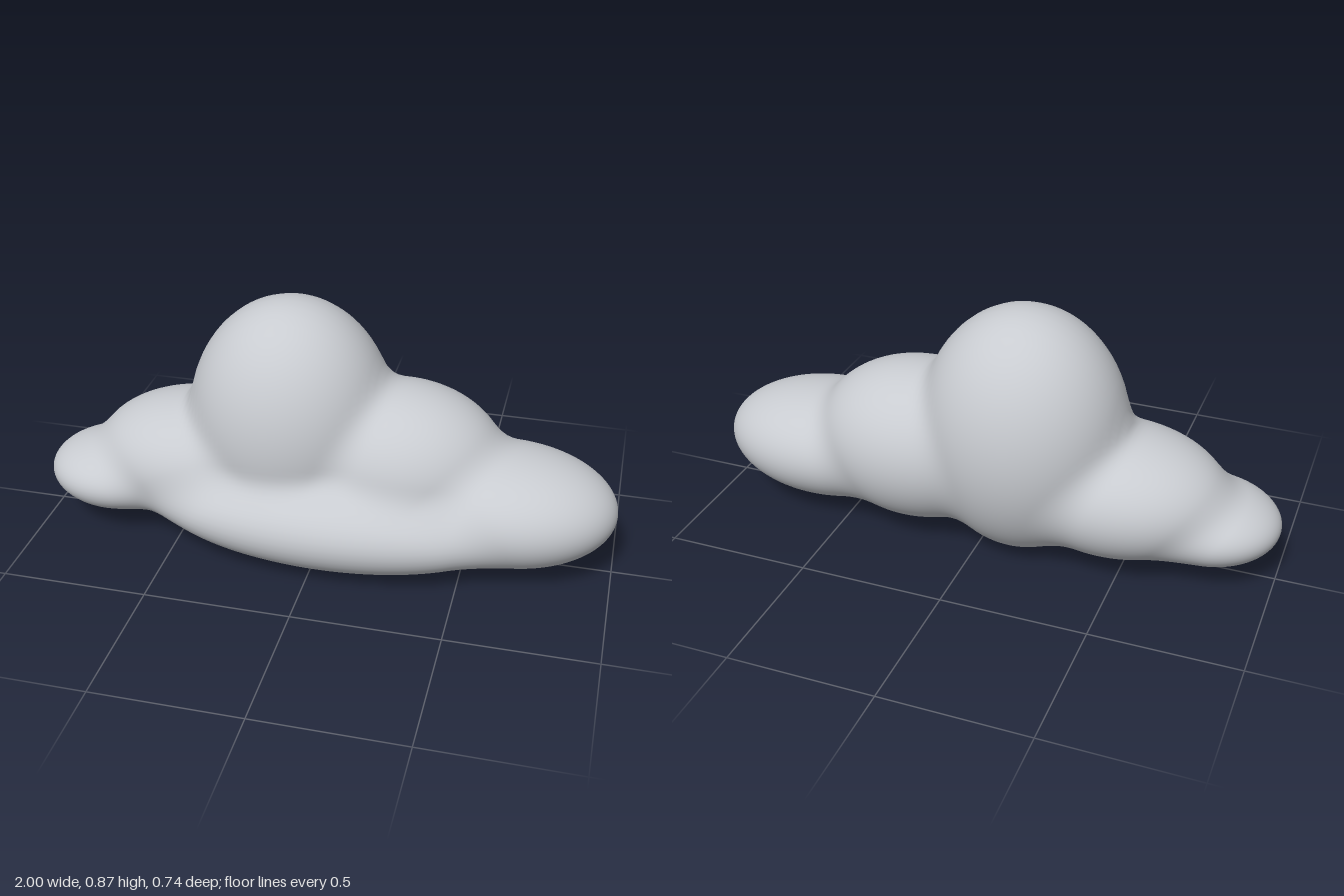
import * as THREE from 'three';

// Puffs of the cloud: centre, then radii
const PUFFS = [
  [[-0.13, 0.435, -0.05], [0.355, 0.435, 0.32]], // tall middle
  [[0.25, 0.32, -0.04], [0.37, 0.28, 0.29]],     // right shoulder
  [[0.62, 0.225, 0], [0.38, 0.195, 0.27]],       // right end
  [[-0.45, 0.26, -0.03], [0.38, 0.22, 0.28]],    // left shoulder
  [[-0.75, 0.18, 0.01], [0.25, 0.125, 0.22]],    // left end
  [[0.04, 0.175, 0.12], [0.63, 0.175, 0.25]],    // long front belly
];
const BLEND = 0.06;

// Approximate distance to one ellipsoid
function puffDistance([c, r], x, y, z) {
  const p = [x - c[0], y - c[1], z - c[2]];
  const k0 = Math.hypot(p[0] / r[0], p[1] / r[1], p[2] / r[2]);
  const k1 = Math.hypot(p[0] / r[0] ** 2, p[1] / r[1] ** 2, p[2] / r[2] ** 2);
  return k1 < 1e-6 ? -Math.min(...r) : k0 * (k0 - 1) / k1;
}

// Soft union of all puffs
function cloudDistance(x, y, z) {
  return PUFFS.map((puff) => puffDistance(puff, x, y, z)).reduce((a, b) => {
    const h = Math.max(BLEND - Math.abs(a - b), 0) / BLEND;
    return Math.min(a, b) - h * h * BLEND / 4;
  });
}

// Cross-sections along x, each traced outward from a centre line
function cloudGeometry(rings = 160, sides = 96) {
  const centreY = (x) => 0.2025 + 0.0225 * x + 0.05 * (1 - x * x);
  const positions = [-1, centreY(-1), 0.01];
  const index = [];
  for (let i = 1; i < rings; i++) {
    const x = -Math.cos((Math.PI * i) / rings);
    const cy = centreY(x);
    const cz = x < 0 ? 0.01 * x * x : 0;
    for (let j = 0; j < sides; j++) {
      const a = (2 * Math.PI * j) / sides;
      let lo = 0, hi = 0.9;
      for (let n = 0; n < 22; n++) {
        const mid = (lo + hi) / 2;
        if (cloudDistance(x, cy + mid * Math.cos(a), cz + mid * Math.sin(a)) < 0) lo = mid;
        else hi = mid;
      }
      positions.push(x, cy + lo * Math.cos(a), cz + lo * Math.sin(a));
    }
  }
  const last = positions.length / 3;
  positions.push(1, centreY(1), 0);

  const at = (i, j) => 1 + i * sides + (j % sides);
  for (let j = 0; j < sides; j++) {
    index.push(0, at(0, j + 1), at(0, j));
    for (let i = 0; i < rings - 2; i++) {
      index.push(at(i, j), at(i, j + 1), at(i + 1, j));
      index.push(at(i, j + 1), at(i + 1, j + 1), at(i + 1, j));
    }
    index.push(at(rings - 2, j), at(rings - 2, j + 1), last);
  }
  const geometry = new THREE.BufferGeometry();
  geometry.setAttribute('position', new THREE.Float32BufferAttribute(positions, 3));
  geometry.setIndex(index);
  geometry.computeVertexNormals();
  return geometry;
}

export function createModel() {
  const group = new THREE.Group();
  group.name = 'cloud';
  const paleGrey = new THREE.MeshStandardMaterial({ color: 0xc8cbd0 });
  paleGrey.name = 'paleGrey';
  const body = new THREE.Mesh(cloudGeometry(), paleGrey);
  body.name = 'cloudBody';
  group.add(body);
  return group;
}
